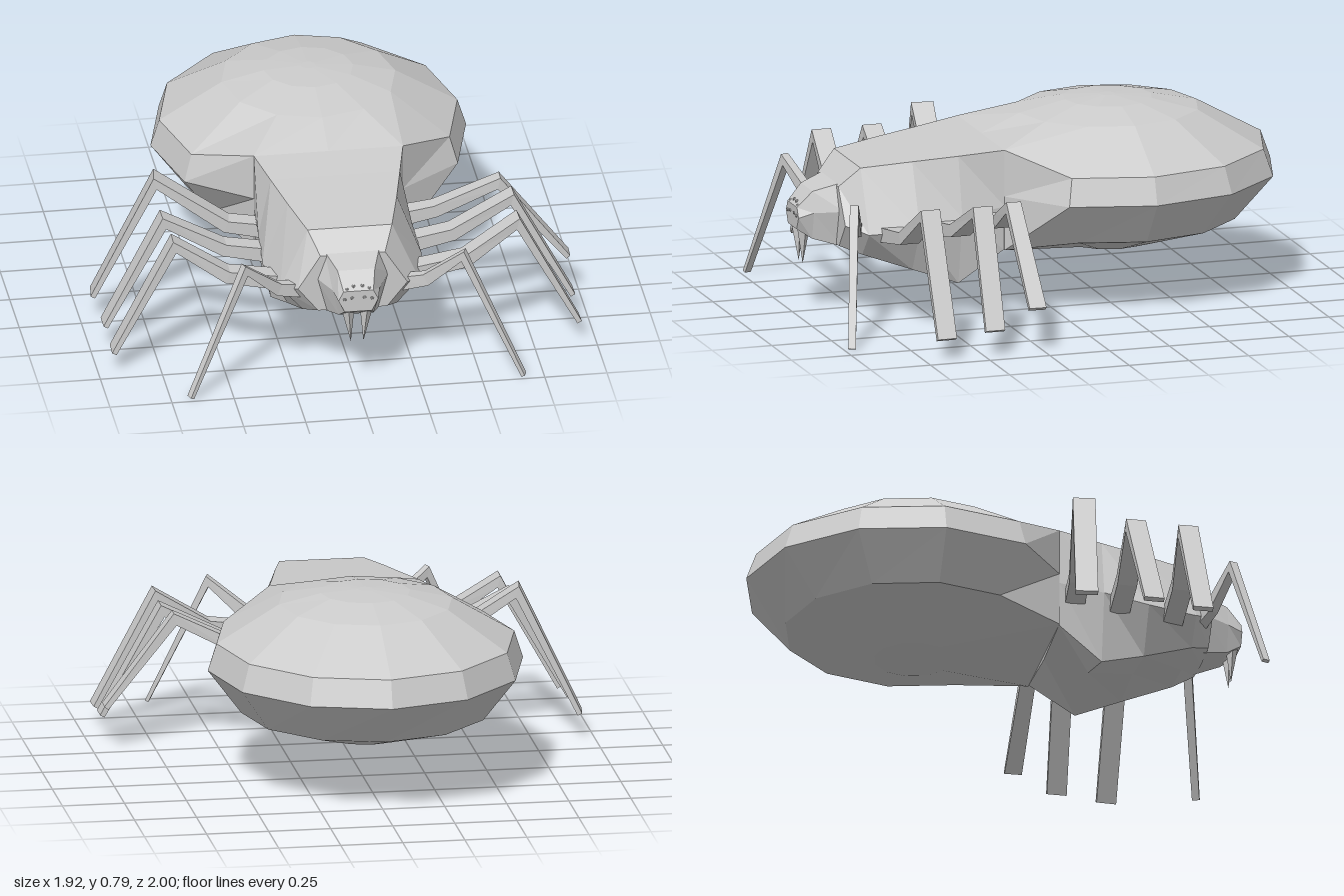
import * as THREE from 'three';

const material = new THREE.MeshStandardMaterial({ color: 0xcccccc, flatShading: true });

// Skin a row of equal closed loops, each counter-clockwise about the direction of travel, with end caps.
function loft(name, rings) {
  const n = rings[0].length;
  const index = [];
  for (let r = 0; r < rings.length - 1; r++) {
    for (let i = 0; i < n; i++) {
      const a = r * n + i, b = r * n + (i + 1) % n;
      index.push(a, b, b + n, a, b + n, a + n);
    }
  }
  const last = (rings.length - 1) * n;
  for (let i = 1; i < n - 1; i++) index.push(0, i + 1, i, last, last + i, last + i + 1);
  const geometry = new THREE.BufferGeometry();
  geometry.setAttribute('position', new THREE.Float32BufferAttribute(rings.flat(2), 3));
  geometry.setIndex(index);
  const flat = geometry.toNonIndexed();
  flat.computeVertexNormals();
  const mesh = new THREE.Mesh(flat, material);
  mesh.name = name;
  return mesh;
}

// Mirrored body section: top edge, side and low corner, closed on the centre line.
function section([z, topX, topY, sideX, sideY, lowX, lowY, midY]) {
  const half = [[lowX, lowY, z], [sideX, sideY, z], [topX, topY, z]];
  const mirrored = half.map(([x, y]) => [-x, y, z]).reverse();
  return [[0, midY, z], ...half, [0, topY, z], ...mirrored];
}

// Twelve-sided abdomen whose front corners are pulled onto the back of the thorax.
function abdomen() {
  // height, x radius, z radius, height of the corners that meet the thorax
  const levels = [
    [0.19, 0.03, 0.03], [0.2, 0.16, 0.16], [0.31, 0.5, 0.52, 0.27], [0.49, 0.635, 0.68, 0.49],
    [0.6, 0.6, 0.64, 0.68], [0.75, 0.35, 0.37], [0.79, 0.18, 0.18], [0.8, 0.03, 0.03],
  ];
  return loft('abdomen', levels.map(([y, rx, rz, joinY]) =>
    Array.from({ length: 12 }, (_, i) => {
      const a = i * Math.PI / 6;
      if (joinY && [0, 1, 11].includes(i)) return [Math.sign(Math.sin(a)) * (i ? 0.3 : 0), joinY, 0.21];
      return [rx * Math.sin(a), y, -0.32 + rz * Math.cos(a)];
    })));
}

// Jointed leg with a rectangular section, swept through [x, y, z, width, thickness].
function leg(name, path) {
  const points = path.map(([x, y, z]) => new THREE.Vector3(x, y, z));
  const up = new THREE.Vector3(0, 1, 0);
  const heading = points.at(-1).clone().sub(points[0]).setY(0).normalize();
  const side = new THREE.Vector3().crossVectors(up, heading);
  const rings = points.map((p, i) => {
    const before = points[Math.max(i - 1, 0)], after = points[Math.min(i + 1, points.length - 1)];
    const along = new THREE.Vector3();
    if (i > 0) along.add(p.clone().sub(before).normalize());
    if (i < points.length - 1) along.add(after.clone().sub(p).normalize());
    const normal = along.normalize().cross(side).normalize();
    const [, , , w, t] = path[i];
    return [[-1, -1], [1, -1], [1, 1], [-1, 1]].map(([s, n]) =>
      p.clone().addScaledVector(side, s * w / 2).addScaledVector(normal, n * t / 2).toArray());
  });
  return loft(name, rings);
}

export function createModel() {
  const model = new THREE.Group();
  model.name = 'spider';
  model.add(abdomen());

  model.add(loft('thorax', [
    [0.21, 0.3, 0.68, 0.3, 0.45, 0.29, 0.27, 0.25],
    [0.39, 0.26, 0.66, 0.31, 0.42, 0.26, 0.14, 0.21],
    [0.57, 0.22, 0.642, 0.32, 0.38, 0.22, 0.2, 0.22],
    [0.77, 0.17, 0.62, 0.28, 0.37, 0.19, 0.27, 0.26],
    [0.85, 0.13, 0.54, 0.22, 0.4, 0.14, 0.3, 0.29],
  ].map(section)));

  model.add(loft('head', [
    [0.83, 0.11, 0.55, 0.15, 0.44, 0.11, 0.29, 0.29],
    [0.94, 0.075, 0.515, 0.095, 0.43, 0.07, 0.32, 0.32],
    [1.0, 0.06, 0.45, 0.08, 0.41, 0.055, 0.36, 0.36],
  ].map(section)));

  // Legs on the model's left; the hind pair is posed differently on each side.
  const legs = {
    frontLeg: [[0.17, 0.37, 0.79, 0.05, 0.06], [0.3, 0.4, 0.83, 0.04, 0.05],
      [0.44, 0.52, 0.885, 0.035, 0.045], [0.67, 0.012, 0.97, 0.03, 0.015]],
    secondLeg: [[0.24, 0.36, 0.68, 0.08, 0.06], [0.48, 0.4, 0.67, 0.08, 0.05],
      [0.69, 0.54, 0.65, 0.08, 0.05], [0.935, 0.09, 0.66, 0.08, 0.02]],
    thirdLeg: [[0.24, 0.37, 0.46, 0.08, 0.06], [0.46, 0.41, 0.45, 0.08, 0.05],
      [0.7, 0.54, 0.435, 0.08, 0.05], [0.94, 0.11, 0.46, 0.08, 0.02]],
  };
  const hindLeft = [[0.24, 0.39, 0.26, 0.08, 0.06], [0.42, 0.42, 0.26, 0.07, 0.05],
    [0.67, 0.54, 0.295, 0.06, 0.05], [0.95, 0.19, 0.285, 0.07, 0.02]];
  const hindRight = [[-0.24, 0.39, 0.28, 0.08, 0.06], [-0.42, 0.42, 0.265, 0.08, 0.05],
    [-0.7, 0.615, 0.225, 0.09, 0.05], [-0.945, 0.11, 0.185, 0.09, 0.02]];
  for (const [name, path] of Object.entries(legs)) {
    model.add(leg(name + 'Left', path));
    model.add(leg(name + 'Right', path.map(([x, ...rest]) => [-x, ...rest])));
  }
  model.add(leg('hindLegLeft', hindLeft), leg('hindLegRight', hindRight));

  // Fangs and small eyes
  for (const s of [-1, 1]) {
    const fang = new THREE.Mesh(new THREE.ConeGeometry(0.03, 0.17, 4), material);
    fang.name = 'fang';
    fang.position.set(s * 0.032, 0.295, 0.965);
    fang.rotation.set(Math.PI, 0, s * 0.08);
    model.add(fang);
    for (const [x, y, z] of [[0.018, 0.465, 0.985], [0.045, 0.455, 0.99], [0.025, 0.42, 0.998], [0.055, 0.415, 0.998]]) {
      const eye = new THREE.Mesh(new THREE.IcosahedronGeometry(0.008, 0), material);
      eye.name = 'eye';
      eye.position.set(s * x, y, z);
      model.add(eye);
    }
  }
  return model;
}
